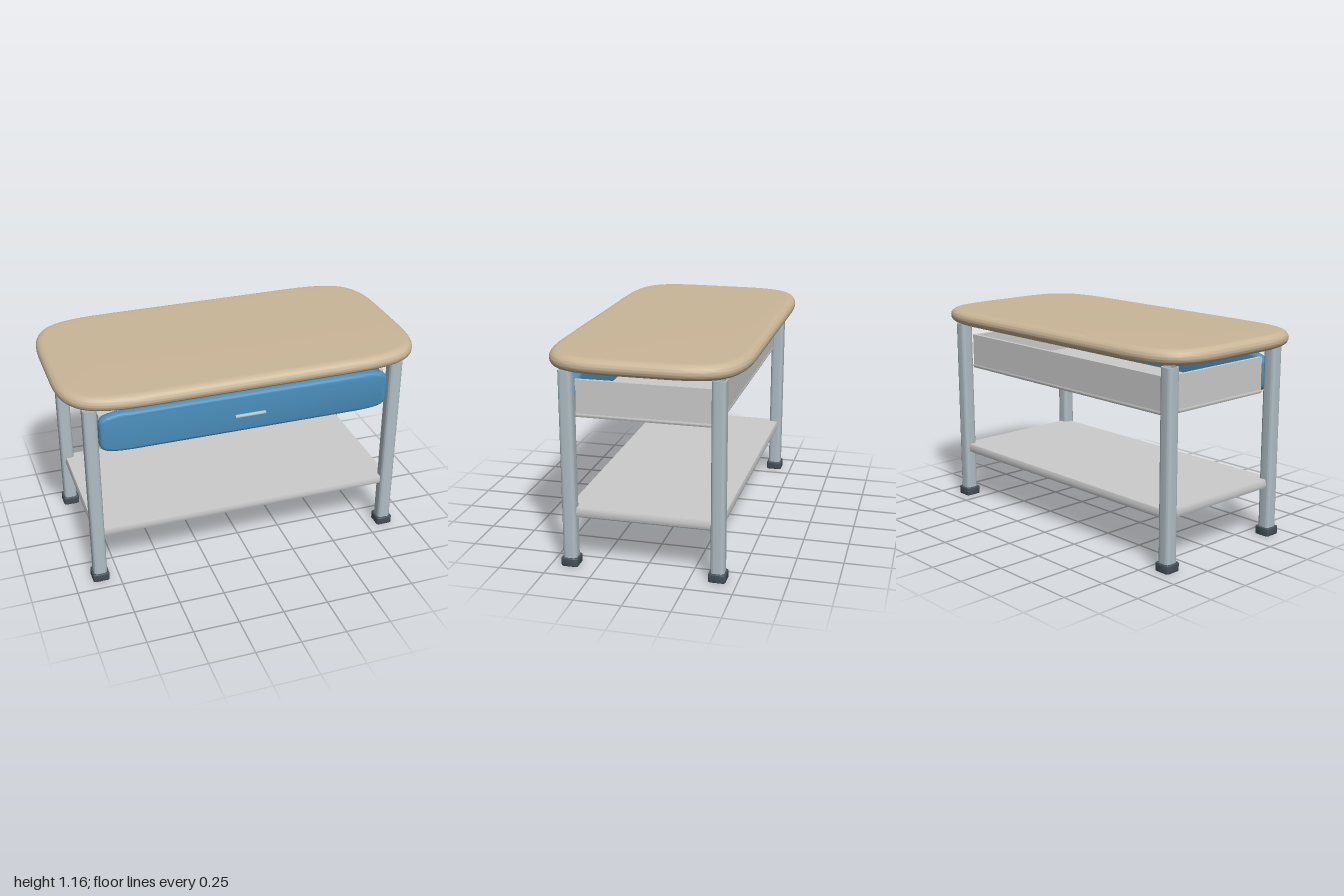
import * as THREE from 'three';
import { toCreasedNormals } from 'three/addons/utils/BufferGeometryUtils.js';

const mat = (color) => new THREE.MeshStandardMaterial({ color });
const tan = mat(0xcab698), blue = mat(0x4a8dba), steel = mat(0xb0bec5);
const dark = mat(0x455059), grey = mat(0xcccccc);

// Closed outline mirrored over both axes; each corner runs from (w, a) to (b, h),
// with c and d setting how tightly it turns.
function softOutline(w, h, a, b, c, d) {
  const s = new THREE.Shape();
  s.moveTo(w, -a);
  s.lineTo(w, a);
  s.bezierCurveTo(w, c, d, h, b, h);
  s.lineTo(-b, h);
  s.bezierCurveTo(-d, h, -w, c, -w, a);
  s.lineTo(-w, -a);
  s.bezierCurveTo(-w, -c, -d, -h, -b, -h);
  s.lineTo(b, -h);
  s.bezierCurveTo(d, -h, w, -c, w, -a);
  return s;
}

const roundedSquare = (half, r) =>
  softOutline(half, half, half - r, half - r, half - r * 0.45, half - r * 0.45);

function rectangle(w, h) {
  return new THREE.Shape([[w, h], [-w, h], [-w, -h], [w, -h]].map(([x, y]) => new THREE.Vector2(x, y)));
}

// Extrudes an outline to a total thickness, centred on z, with its edges eased inward.
function slab(shape, thickness, edge, ease, segments, crease = 0.8) {
  const g = new THREE.ExtrudeGeometry(shape, {
    depth: thickness - 2 * ease, bevelEnabled: ease > 0, bevelThickness: ease,
    bevelSize: edge, bevelOffset: -edge, bevelSegments: segments, curveSegments: 12,
  });
  g.translate(0, 0, -thickness / 2 + ease);
  return toCreasedNormals(g, crease);
}

const flat = (g) => g.rotateX(-Math.PI / 2);

export function createModel() {
  const model = new THREE.Group();
  const add = (name, geometry, material, x, y, z, parent = model) => {
    const m = new THREE.Mesh(geometry, material);
    m.name = name;
    m.position.set(x, y, z);
    parent.add(m);
    return m;
  };

  // Cushioned top
  const topShape = softOutline(1, 0.525, 0.15, 0.55, 0.45, 0.9);
  add('tableTop', flat(slab(topShape, 0.082, 0.05, 0.038, 8)), tan, 0, 1.119, 0);

  // Hollow legs, each in an open rubber foot
  const legShape = roundedSquare(0.037, 0.02);
  legShape.holes.push(roundedSquare(0.028, 0.012));
  const legGeometry = flat(slab(legShape, 1.055, 0, 0, 1));
  const footShape = roundedSquare(0.046, 0.014);
  footShape.holes.push(roundedSquare(0.03, 0.012));
  const footGeometry = flat(slab(footShape, 0.047, 0.005, 0.006, 3));
  for (const sx of [-1, 1]) {
    for (const sz of [-1, 1]) {
      const leg = new THREE.Group();
      leg.name = (sz > 0 ? 'front' : 'back') + (sx > 0 ? 'Left' : 'Right') + 'Leg';
      leg.position.set(sx * 0.853, 0, sz * 0.396);
      add('post', legGeometry, steel, 0, 0.5375, 0, leg);
      add('foot', footGeometry, dark, 0, 0.0235, 0, leg);
      model.add(leg);
    }
  }

  // Lower shelf, its corners held inside the legs
  add('shelf', flat(slab(rectangle(0.87, 0.415), 0.048, 0.008, 0.023, 1)), grey, 0, 0.3, 0);

  // Drawer: open tray, soft front panel and bar handle
  const drawer = new THREE.Group();
  drawer.name = 'drawer';
  model.add(drawer);
  add('drawerBottom', flat(slab(rectangle(0.805, 0.375), 0.024, 0.005, 0.011, 1)), grey, 0, 0.812, 0, drawer);
  for (const s of [-1, 1]) {
    add('drawerSide', new THREE.BoxGeometry(0.02, 0.185, 0.74), grey, s * 0.792, 0.9075, 0, drawer);
  }
  add('drawerBack', new THREE.BoxGeometry(1.6, 0.185, 0.02), grey, 0, 0.9075, -0.362, drawer);
  const frontShape = softOutline(0.81, 0.115, 0.045, 0.6, 0.1, 0.78);
  add('drawerFront', slab(frontShape, 0.06, 0.02, 0.025, 5), blue, 0, 0.905, 0.392, drawer);
  const handle = add('handle', new THREE.CylinderGeometry(0.01, 0.01, 0.17, 16), steel, 0, 0.903, 0.446, drawer);
  handle.rotation.z = Math.PI / 2;

  return model;
}
